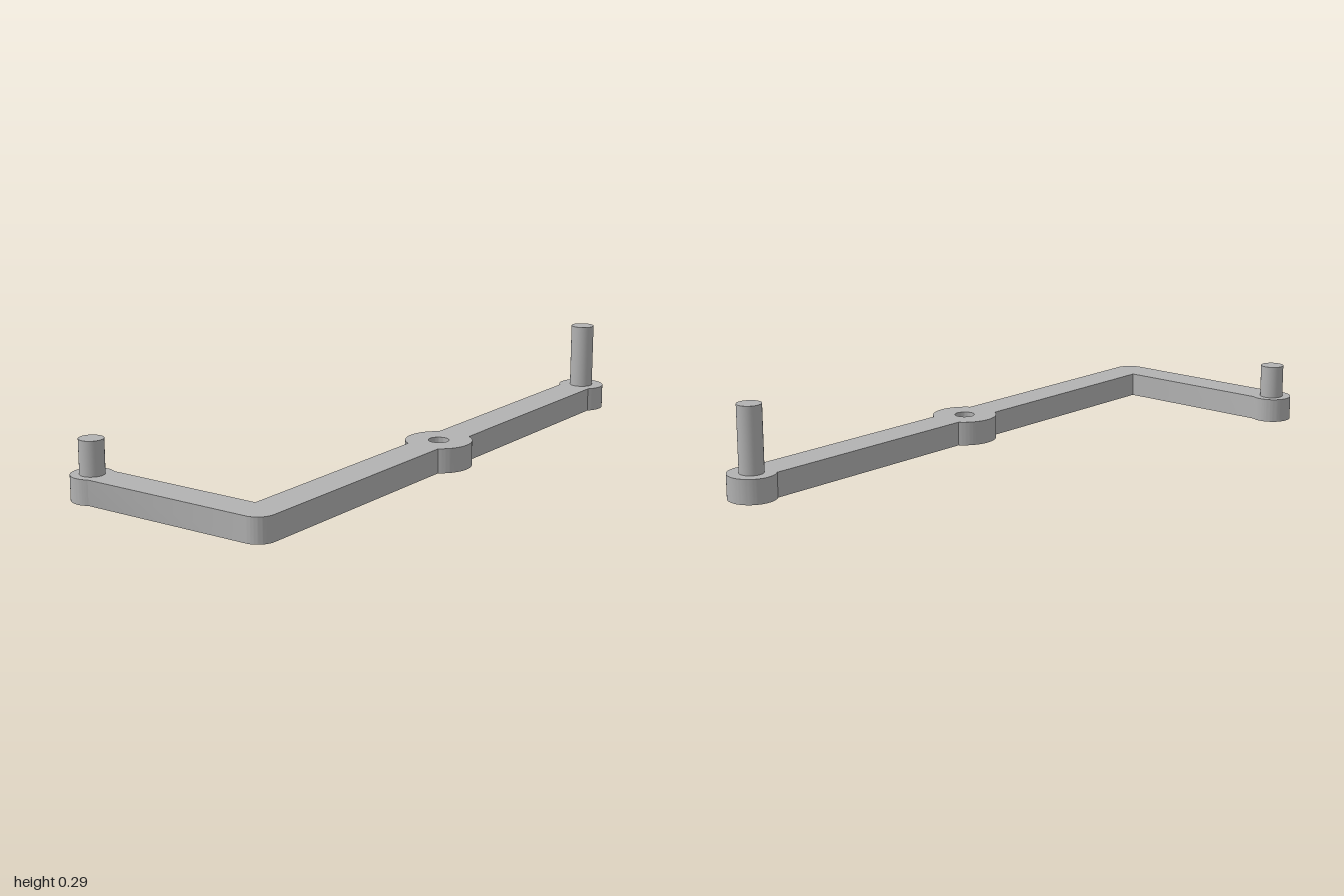
import * as THREE from 'three';
import { toCreasedNormals } from 'three/addons/utils/BufferGeometryUtils.js';

const T = 0.08;          // plate thickness
const W = 0.057;         // half width of the arms
const X = 0.296;         // centre line of the long arm
const HUB = { x: X, z: 0.016, r: 0.107 };
const BACK = { x: X, z: -0.923, r: 0.077 };
const FRONT = { x: -0.337, z: 0.933, r: 0.067 };
const PIN_R = 0.039;

export function createModel() {
  const group = new THREE.Group();
  group.name = 'crankLever';
  const grey = new THREE.MeshStandardMaterial({ color: 0xb2b2b2 });
  grey.name = 'grey';

  // Outline of the plate, drawn counter-clockwise with shape y = -z
  const s = new THREE.Shape();
  const bend = (boss) => Math.asin(W / boss.r);
  const hb = bend(HUB), bb = bend(BACK), fb = bend(FRONT);
  const half = Math.PI / 2;
  const zc = FRONT.z;
  s.moveTo(X, -(zc + W));
  s.absarc(X, -zc, W, -half, 0, false);                                  // rounded outer corner
  s.absarc(HUB.x, -HUB.z, HUB.r, -half + hb, half - hb, false);          // hub, outer side
  s.absarc(BACK.x, -BACK.z, BACK.r, -half + bb, 3 * half - bb, false);   // back boss
  s.absarc(HUB.x, -HUB.z, HUB.r, half + hb, 3 * half - hb, false);       // hub, inner side
  s.lineTo(X - W, -(zc - W));                                            // sharp inner corner
  s.absarc(FRONT.x, -zc, FRONT.r, fb, 2 * Math.PI - fb, false);          // front boss
  s.closePath();

  // Pivot hole
  const hole = new THREE.Path();
  hole.absarc(HUB.x, -HUB.z, 0.033, 0, Math.PI * 2, true);
  s.holes.push(hole);

  const plateGeo = new THREE.ExtrudeGeometry(s, { depth: T, bevelEnabled: false, curveSegments: 32 });
  plateGeo.rotateX(-half);
  const plate = new THREE.Mesh(toCreasedNormals(plateGeo, 0.5), grey);
  plate.name = 'leverPlate';
  group.add(plate);

  // Upright pins on the two end bosses
  const addPin = (name, boss, top) => {
    const h = top - T + 0.01;
    const pin = new THREE.Mesh(new THREE.CylinderGeometry(PIN_R, PIN_R, h, 48), grey);
    pin.name = name;
    pin.position.set(boss.x, top - h / 2, boss.z);
    group.add(pin);
  };
  addPin('frontPin', FRONT, 0.19);
  addPin('backPin', BACK, 0.295);

  return group;
}
